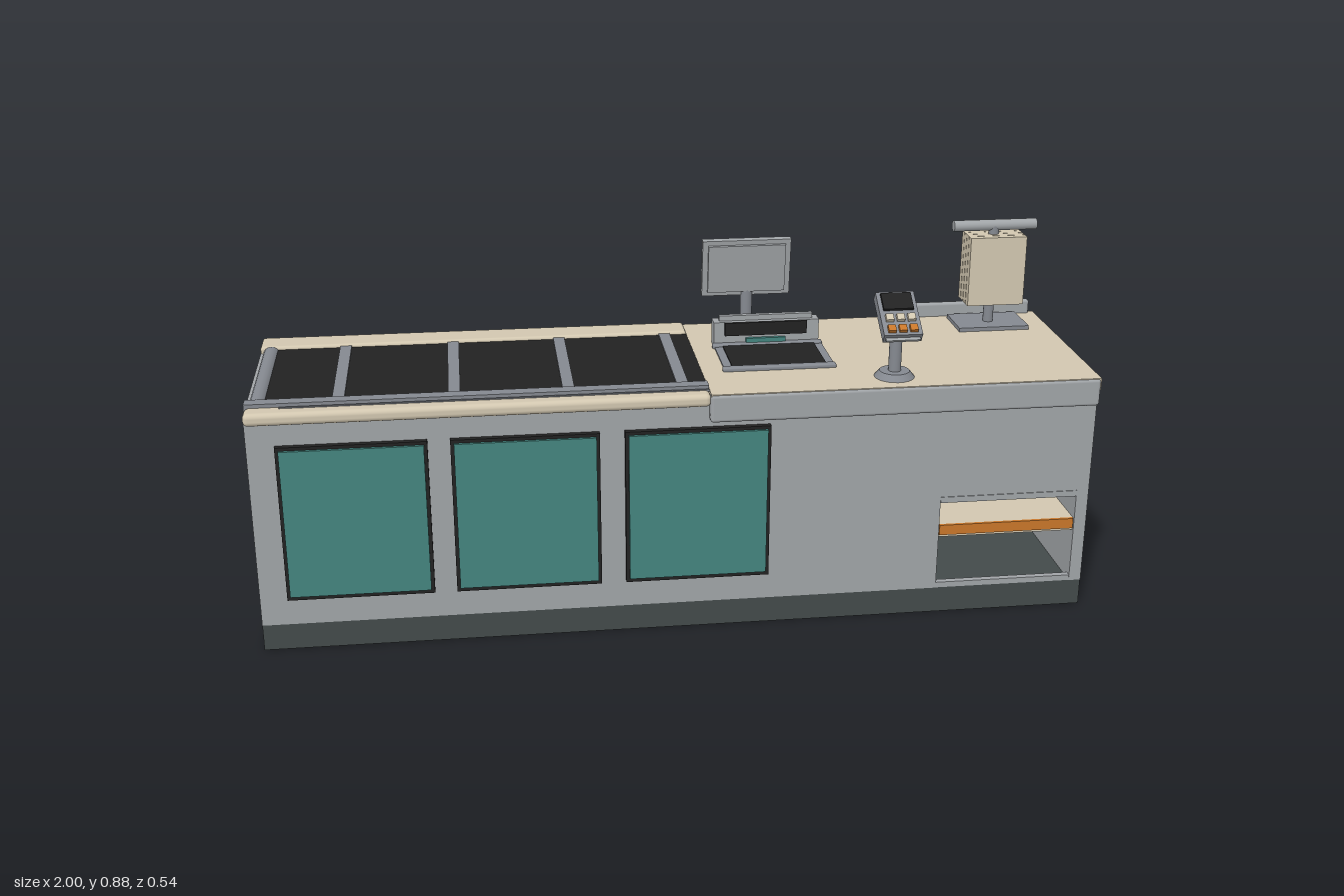
import * as THREE from 'three';
import { RoundedBoxGeometry } from 'three/addons/geometries/RoundedBoxGeometry.js';

export function createModel() {
  const root = new THREE.Group();
  root.name = 'checkoutCounter';
  const mat = (name, color) => {
    const m = new THREE.MeshStandardMaterial({ color });
    m.name = name;
    return m;
  };
  const grey = mat('panelGrey', 0xa1a5a8);
  const metal = mat('metalGrey', 0x858990);
  const dark = mat('plinthDark', 0x434a4a);
  const black = mat('black', 0x222222);
  const cream = mat('cream', 0xd2c7b0);
  const teal = mat('teal', 0x44857f);
  const orange = mat('orange', 0xc9772a);

  const add = (parent, name, geo, m, x, y, z) => {
    const mesh = new THREE.Mesh(geo, m);
    mesh.name = name;
    mesh.position.set(x, y, z);
    parent.add(mesh);
    return mesh;
  };
  // Box given by its limits; r rounds the edges
  const box = (parent, name, m, [x0, x1], [y0, y1], [z0, z1], r = 0) => {
    const s = [x1 - x0, y1 - y0, z1 - z0];
    const geo = r ? new RoundedBoxGeometry(...s, 3, r) : new THREE.BoxGeometry(...s);
    return add(parent, name, geo, m, (x0 + x1) / 2, (y0 + y1) / 2, (z0 + z1) / 2);
  };
  const post = (parent, name, m, r0, r1, y0, y1, x, z) =>
    add(parent, name, new THREE.CylinderGeometry(r1, r0, y1 - y0, 24), m, x, (y0 + y1) / 2, z);
  // Horizontal bar along x or z
  const bar = (parent, name, m, r, len, x, y, z, axis = 'x') => {
    const geo = new THREE.CylinderGeometry(r, r, len, 16);
    if (axis === 'x') geo.rotateZ(Math.PI / 2);
    else geo.rotateX(Math.PI / 2);
    return add(parent, name, geo, m, x, y, z);
  };
  const group = (name, x = 0, y = 0, z = 0) => {
    const g = new THREE.Group();
    g.name = name;
    g.position.set(x, y, z);
    root.add(g);
    return g;
  };

  // Plinth and cabinet, with a rear foot recess and a front alcove
  box(root, 'plinth', dark, [-1, 1], [0, 0.066], [-0.245, 0.245]);
  const body = group('cabinet');
  box(body, 'recessBlock', grey, [-1, 0.1], [0.066, 0.36], [-0.17, 0.247]);
  box(body, 'upperLeftBlock', grey, [-1, 0.1], [0.36, 0.576], [-0.252, 0.247]);
  box(body, 'middleBlock', grey, [0.1, 0.63], [0.066, 0.576], [-0.252, 0.247]);
  box(body, 'alcoveTop', grey, [0.63, 0.97], [0.31, 0.576], [-0.252, 0.247]);
  box(body, 'alcoveBack', grey, [0.63, 0.97], [0.066, 0.31], [-0.252, -0.15]);
  box(body, 'endWall', grey, [0.97, 1], [0.066, 0.576], [-0.252, 0.247]);
  box(body, 'alcoveLip', grey, [0.63, 0.97], [0.295, 0.31], [0.235, 0.249]);
  box(body, 'alcoveSill', grey, [0.63, 0.97], [0.066, 0.08], [0.23, 0.246]);
  box(body, 'alcoveShelf', cream, [0.63, 0.97], [0.2, 0.233], [-0.15, 0.238]);
  box(body, 'shelfEdge', orange, [0.632, 0.968], [0.208, 0.234], [0.238, 0.246]);

  // Rear foot rail and drawer
  bar(root, 'footRail', metal, 0.011, 0.98, -0.46, 0.112, -0.243);
  for (const x of [0.0, -0.46, -0.92])
    bar(root, 'footRailBracket', metal, 0.006, 0.075, x, 0.112, -0.206, 'z');
  box(root, 'drawerFront', orange, [0.17, 0.43], [0.392, 0.529], [-0.266, -0.25]);
  bar(root, 'drawerPull', black, 0.006, 0.05, 0.3, 0.455, -0.267);

  // Framed front panels
  for (const x of [-0.763, -0.367, 0.036]) {
    box(root, 'panelFrame', black, [x - 0.172, x + 0.172], [0.135, 0.521], [0.245, 0.261]);
    box(root, 'frontPanel', teal, [x - 0.164, x + 0.164], [0.146, 0.513], [0.259, 0.268]);
  }

  // Conveyor
  const belt = group('conveyor');
  box(belt, 'deck', grey, [-1, 0.065], [0.574, 0.595], [-0.22, 0.22]);
  box(belt, 'belt', black, [-0.97, 0.065], [0.59, 0.604], [-0.187, 0.187]);
  for (const x of [-0.79, -0.525, -0.26, 0.008])
    box(belt, 'beltSlat', metal, [x - 0.014, x + 0.014], [0.6, 0.608], [-0.187, 0.187]);
  bar(belt, 'endRoller', metal, 0.02, 0.374, -0.973, 0.593, 0, 'z');
  box(belt, 'frontRail', cream, [-1, 0.065], [0.575, 0.606], [0.215, 0.267], 0.012);
  box(belt, 'backRail', cream, [-1, 0.065], [0.575, 0.612], [-0.266, -0.187], 0.008);
  box(belt, 'frontGuide', metal, [-1, 0.065], [0.595, 0.614], [0.19, 0.222]);
  box(belt, 'guideTrim', metal, [-0.92, 0.065], [0.603, 0.608], [0.228, 0.234]);

  // Worktop with grey skirts
  box(root, 'worktop', cream, [0.065, 1], [0.575, 0.605], [-0.264, 0.264]);
  for (const s of [1, -1])
    box(root, 'worktopSkirt', grey, [0.063, 0.999], [0.536, 0.604], s > 0 ? [0.24, 0.268] : [-0.267, -0.24], 0.008);
  box(root, 'backStop', grey, [0.63, 0.985], [0.6, 0.641], [-0.266, -0.249], 0.007);

  // Scanner with flat glass and upright head
  const scanner = group('scanner');
  box(scanner, 'scannerBed', metal, [0.12, 0.39], [0.6, 0.609], [-0.085, 0.11]);
  box(scanner, 'scannerGlass', black, [0.14, 0.37], [0.606, 0.612], [-0.06, 0.09]);
  for (const z of [-0.07, 0.102])
    box(scanner, 'bedEdge', metal, [0.115, 0.392], [0.602, 0.615], [z - 0.01, z + 0.01], 0.005);
  box(scanner, 'scannerHead', grey, [0.12, 0.385], [0.604, 0.667], [-0.116, -0.078]);
  box(scanner, 'headCrest', grey, [0.135, 0.37], [0.66, 0.68], [-0.103, -0.09]);
  box(scanner, 'headWindow', black, [0.147, 0.353], [0.634, 0.667], [-0.078, -0.069]);
  box(scanner, 'headLight', teal, [0.2, 0.3], [0.61, 0.626], [-0.078, -0.069]);

  // Cashier display, screen toward the back
  const display = group('cashierDisplay');
  post(display, 'displayBase', metal, 0.046, 0.036, 0.605, 0.632, 0.22, -0.203);
  post(display, 'displayPost', metal, 0.015, 0.015, 0.625, 0.755, 0.22, -0.198);
  const head = group('displayHead', 0.217, 0.776, -0.192);
  head.rotation.x = 0.12;
  box(head, 'displayShell', grey, [-0.112, 0.112], [-0.074, 0.074], [-0.01, 0.008]);
  box(head, 'displayBackCover', grey, [-0.098, 0.098], [-0.062, 0.062], [0.008, 0.016]);
  box(head, 'displayScreen', black, [-0.105, 0.105], [-0.067, 0.067], [-0.017, -0.01]);

  // Card terminal on a stand
  const stand = group('cardTerminalStand');
  post(stand, 'standBase', metal, 0.048, 0.036, 0.605, 0.62, 0.515, 0.187);
  post(stand, 'standPost', metal, 0.015, 0.015, 0.615, 0.73, 0.515, 0.187);
  post(stand, 'standCollar', metal, 0.021, 0.021, 0.716, 0.735, 0.515, 0.187);
  const term = group('cardTerminal', 0.515, 0.757, 0.197);
  term.rotation.x = 0.6;
  box(term, 'terminalBody', metal, [-0.046, 0.046], [-0.014, 0.012], [-0.064, 0.064]);
  box(term, 'terminalSeam', grey, [-0.041, 0.041], [-0.004, 0.002], [-0.072, 0.072]);
  box(term, 'terminalScreen', black, [-0.036, 0.036], [0.012, 0.019], [-0.056, -0.008]);
  [cream, orange].forEach((m, row) => {
    for (const x of [-0.026, 0, 0.026]) {
      const z = 0.016 + row * 0.032;
      box(term, 'terminalKey', m, [x - 0.009, x + 0.009], [0.012, 0.021], [z - 0.009, z + 0.009]);
    }
  });

  // Bag holder with a bundle of bags
  const bags = group('bagHolder');
  box(bags, 'holderBase', metal, [0.76, 0.942], [0.604, 0.615], [-0.235, -0.115]);
  post(bags, 'holderPost', metal, 0.013, 0.013, 0.61, 0.87, 0.85, -0.171);
  bar(bags, 'holderBar', grey, 0.014, 0.215, 0.852, 0.869, -0.172);
  for (let i = 0; i < 4; i++) {
    const z = -0.136 - i * 0.0213;
    box(bags, 'bag', cream, [0.78, 0.925], [0.67, 0.847], [z - 0.0095, z + 0.0095]).rotation.x = (i - 1.5) * 0.01;
  }
  return root;
}
